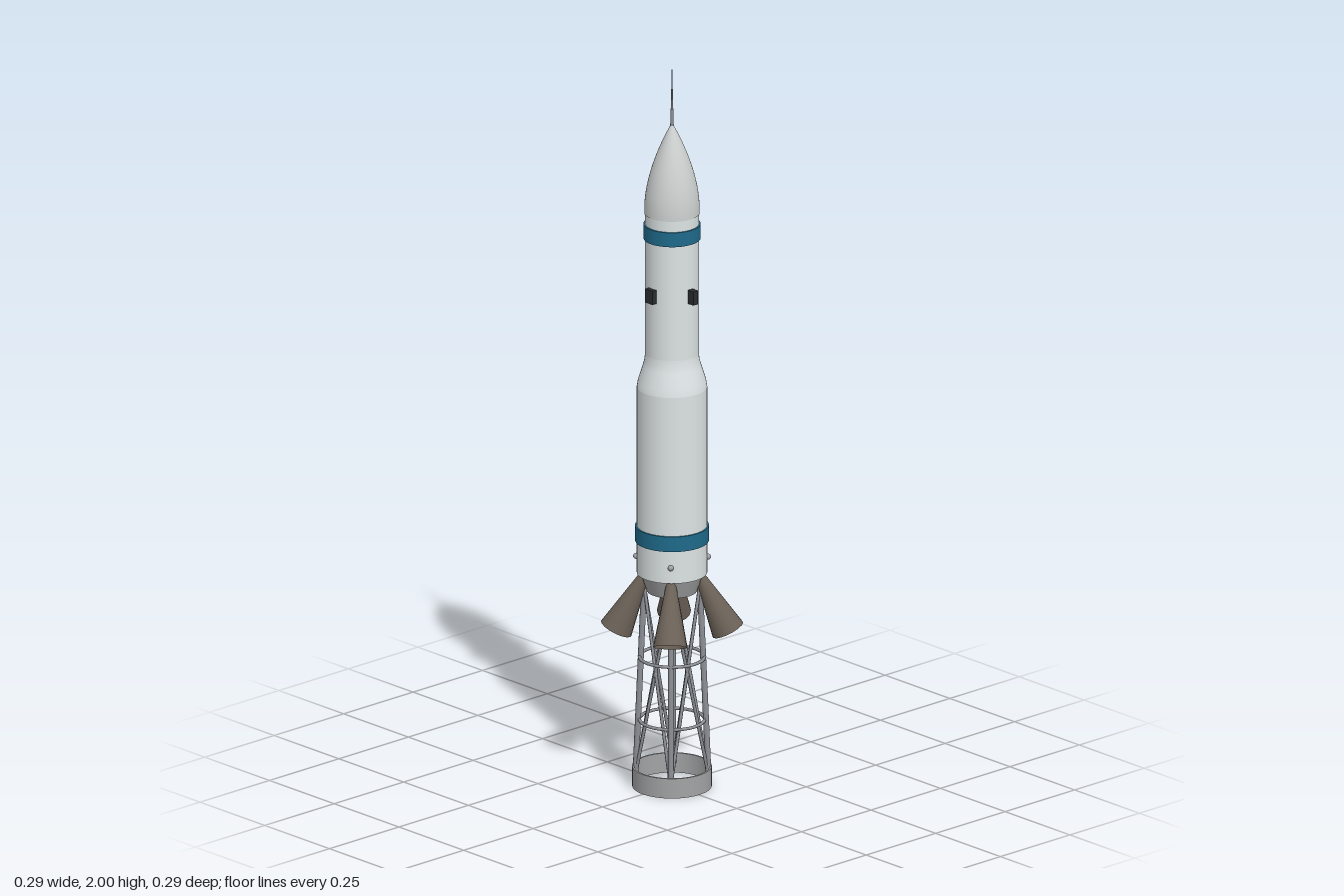
import * as THREE from 'three';

const mat = (name, color, side = THREE.FrontSide) => {
  const m = new THREE.MeshStandardMaterial({ color, side });
  m.name = name;
  return m;
};

export function createModel() {
  const white = mat('hull white', 0xdde3e4);
  const pale = mat('nose grey', 0xcdd1d0);
  const blue = mat('band blue', 0x1f6a8a);
  const dark = mat('window dark', 0x2a2d31);
  const bronze = mat('nozzle bronze', 0x6b6157, THREE.DoubleSide);
  const steel = mat('frame steel', 0x8d9096);
  const ringGrey = mat('ring grey', 0xa2a3a4);

  const model = new THREE.Group();
  model.name = 'rocket';
  const add = (name, geometry, material, parent = model) => {
    const mesh = new THREE.Mesh(geometry, material);
    mesh.name = name;
    parent.add(mesh);
    return mesh;
  };
  const lathe = (pts, seg = 48) =>
    new THREE.LatheGeometry(pts.map(([r, y]) => new THREE.Vector2(r, y)), seg);
  const V = (x, y, z) => new THREE.Vector3(x, y, z);

  // Tapered round bar from a to b
  const bar = (name, a, b, ra, rb, material, parent, seg = 10, open = false) => {
    const d = b.clone().sub(a);
    const mesh = add(name, new THREE.CylinderGeometry(rb, ra, d.length(), seg, 1, open), material, parent);
    mesh.position.copy(a).addScaledVector(d, 0.5);
    mesh.quaternion.setFromUnitVectors(V(0, 1, 0), d.normalize());
    return mesh;
  };

  // Hull: wide lower stage, shoulder and narrow upper stage
  add('lowerStage', lathe([[0, 0.596], [0.093, 0.596], [0.093, 0.596], [0.093, 1.115]]), white);
  add('shoulder', lathe([[0.093, 1.115], [0.0895, 1.135], [0.077, 1.175], [0.0725, 1.192], [0.071, 1.21]]), white);
  add('upperStage', lathe([[0.071, 1.2], [0.071, 1.61]]), white);

  // Ogive nose with a tapering mast
  const nose = [[0, 1.6], [0.073, 1.6], [0.073, 1.6], [0.073, 1.612]];
  for (let i = 1; i <= 14; i++) {
    const t = i / 14;
    nose.push([0.073 * (1 - Math.pow(t, 1.75)) + 0.003 * t, 1.612 + 0.235 * t]);
  }
  add('noseCone', lathe(nose), pale);
  bar('mastBase', V(0, 1.83, 0), V(0, 1.89, 0), 0.005, 0.004, steel);
  bar('mastTip', V(0, 1.88, 0), V(0, 2, 0), 0.0035, 0.0008, steel);

  // Painted bands
  for (const [r, y0, y1] of [[0.0975, 0.686, 0.728], [0.0755, 1.53, 1.57]]) {
    add('band', lathe([[r - 0.006, y0], [r, y0], [r, y0], [r, y1], [r, y1], [r - 0.006, y1]]), blue);
  }

  // Window blocks around the upper stage
  for (const [x, z] of [[1, 0], [-1, 0], [0, 1], [0, -1]]) {
    add('window', new THREE.BoxGeometry(0.017, 0.038, 0.028), dark)
      .position.set(x * 0.0755, 1.385, z * 0.0775);
  }

  // Engine section under the hull
  add('engineSection', new THREE.CylinderGeometry(0.084, 0.066, 0.052, 40).translate(0, 0.571, 0), ringGrey);

  // Lattice stand, nozzles and studs at the four corners
  const stand = new THREE.Group();
  stand.name = 'stand';
  model.add(stand);
  const corners = [[1, 1], [1, -1], [-1, -1], [-1, 1]];
  corners.forEach(([x, z], i) => {
    const foot = V(0.068 * x, 0.03, 0.068 * z);
    const top = V(0.052 * x, 0.56, 0.052 * z);
    bar('leg', foot, top, 0.008, 0.008, steel, stand);

    // Crossed braces to the next corner
    const [nx, nz] = corners[(i + 1) % 4];
    bar('brace', foot, V(0.052 * nx, 0.56, 0.052 * nz), 0.0045, 0.0045, steel, stand, 8);
    bar('brace', V(0.068 * nx, 0.03, 0.068 * nz), top, 0.0045, 0.0045, steel, stand, 8);

    // Splayed nozzle, open at the wide end
    bar('nozzle', V(0.104 * x, 0.437, 0.104 * z), V(0.05 * x, 0.592, 0.05 * z),
      0.045, 0.012, bronze, model, 16, true);

    add('stud', new THREE.SphereGeometry(0.008, 10, 8), ringGrey)
      .position.set(0.067 * x, 0.64, 0.067 * z);
  });

  // Round hoops tying the legs
  for (const y of [0.185, 0.36]) {
    add('hoop', new THREE.TorusGeometry(0.086, 0.0045, 8, 32).rotateX(Math.PI / 2), steel, stand).position.y = y;
  }

  // Hollow base ring
  add('baseRing', lathe([[0.1, 0], [0.105, 0], [0.105, 0], [0.105, 0.055], [0.105, 0.055],
    [0.1, 0.055], [0.1, 0.055], [0.1, 0]]), ringGrey, stand);

  return model;
}
